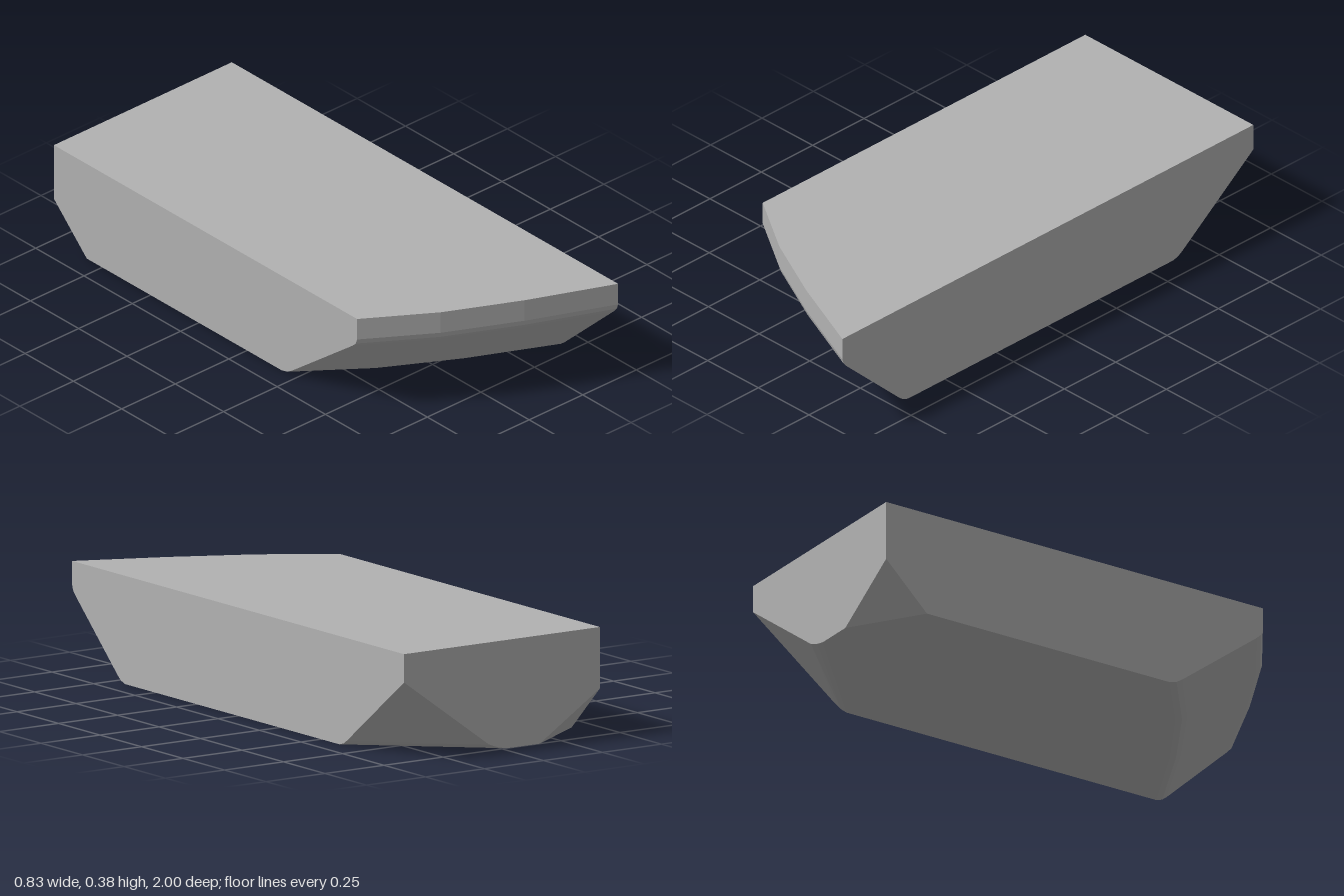
import * as THREE from 'three';
import { ConvexGeometry } from 'three/addons/geometries/ConvexGeometry.js';

const W = 0.415, H = 0.383;

export function createModel() {
  const group = new THREE.Group();
  group.name = 'block';
  const stone = new THREE.MeshStandardMaterial({ color: 0xb2b2b2 });
  stone.name = 'plain grey';

  const points = [];
  const add = (x, y, z) => points.push(new THREE.Vector3(x, y, z));

  // Curved front: the same undercut profile swept along the plan curve.
  // Each column is x, front z, stretch of the undercut.
  const columns = [[-W, 0.57, 1.22], [-0.17, 0.73, 1.13], [0.1, 0.865, 1.06], [W, 1, 1]];
  // Each profile step is setback, height.
  const profile = [[0, H], [0, 0.3], [0.006, 0.28], [0.022, 0.262],
    [0.275, 0.024], [0.295, 0.008], [0.32, 0]];
  for (const [x, z, stretch] of columns) {
    for (const [back, y] of profile) add(x, y, z - back * stretch);
  }

  // Square back corners at the top
  add(-W, H, -1);
  add(W, H, -1);

  // Large bevel at the left back corner, rounded where it meets the base.
  // Each step is height, z on the side face, x on the back face.
  add(W, 0.283, -1);
  for (const [y, z, x] of [[0.022, -0.658, 0.055], [0.007, -0.635, 0.015], [0, -0.61, -0.02]]) {
    add(W, y, z);
    add(x, y, -1);
  }

  // Small bevel at the right back corner
  add(-W, 0.166, -1);
  add(-W, 0, -0.83);
  add(-0.16, 0, -1);

  const body = new THREE.Mesh(new ConvexGeometry(points), stone);
  body.name = 'bevelledBody';
  group.add(body);
  return group;
}
